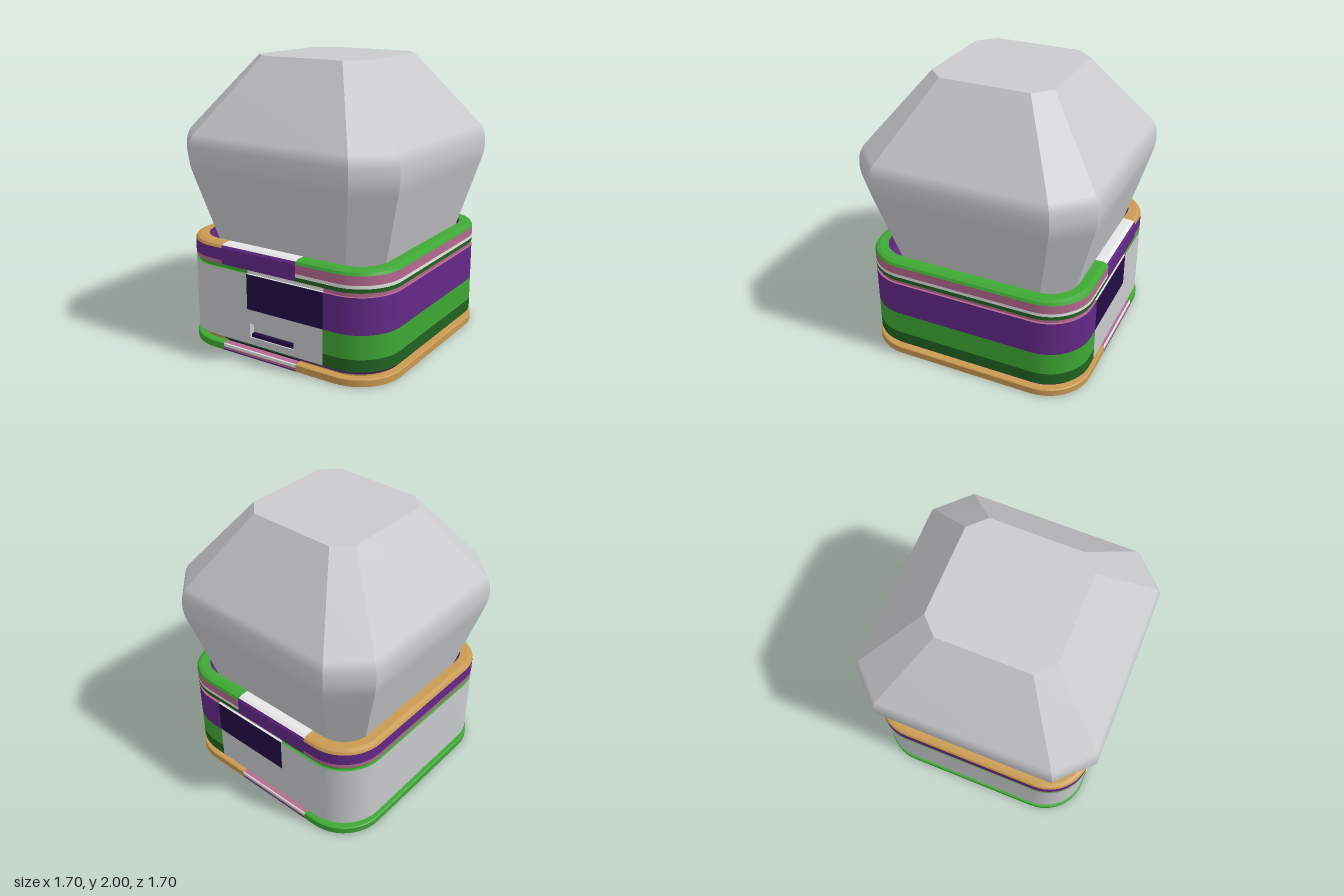
import * as THREE from 'three';

const mat = (name, color) => Object.assign(new THREE.MeshStandardMaterial({ color }), { name });
const M = {
  grey: mat('light grey', 0xc8cacc),
  white: mat('white', 0xe6e6e6),
  purple: mat('purple', 0x642888),
  navy: mat('dark violet', 0x230d45),
  green: mat('green', 0x3ea834),
  darkGreen: mat('dark green', 0x1f6420),
  pink: mat('pink', 0xb5698f),
  tan: mat('tan', 0xc99a50),
};

const CORE = 0.5;                                  // centre of every rounded corner
const CUTS = [0.41, 0.2, 0.18, -0.18, -0.2, -0.41]; // x positions where colours change
const ARC = 12;

// Front half (z >= 0) of a rounded square, from +x to -x, as [x, z, nx, nz]
function halfOutline(h) {
  const r = h - CORE, pts = [[h, 0, 1, 0]];
  const arc = (cx, a0) => {
    for (let i = 0; i <= ARC; i++) {
      const a = a0 + (i / ARC) * Math.PI / 2, c = Math.cos(a), s = Math.sin(a);
      pts.push([cx + r * c, CORE + r * s, c, s]);
    }
  };
  arc(CORE, 0);
  CUTS.forEach(x => pts.push([x, h, 0, 1]));
  arc(-CORE, Math.PI / 2);
  pts.push([-h, 0, -1, 0]);
  return pts;
}

function outline(h) {
  const half = halfOutline(h);
  const back = half.slice(0, -1).reverse().map(([x, z, nx, nz]) => [x, -z, nx, -nz]);
  return [...half, ...back];
}

// Collects coloured quads and turns them into one mesh per colour
function quadBuilder() {
  const buckets = new Map();
  return {
    add(colour, corners, normals) {
      if (!buckets.has(colour)) buckets.set(colour, { p: [], n: [] });
      const b = buckets.get(colour);
      for (const i of [0, 1, 2, 0, 2, 3]) { b.p.push(...corners[i]); b.n.push(...normals[i]); }
    },
    build(name) {
      const group = new THREE.Group();
      group.name = name;
      for (const [colour, b] of buckets) {
        const g = new THREE.BufferGeometry();
        g.setAttribute('position', new THREE.Float32BufferAttribute(b.p, 3));
        g.setAttribute('normal', new THREE.Float32BufferAttribute(b.n, 3));
        const mesh = new THREE.Mesh(g, M[colour]);
        mesh.name = `${name} ${M[colour].name}`;
        group.add(mesh);
      }
      return group;
    },
  };
}

// Wall through [half width, y] levels; pick(row, x, z) names the colour, null leaves a hole
function wall(q, levels, pick) {
  for (let k = 0; k + 1 < levels.length; k++) {
    const [h0, y0] = levels[k], [h1, y1] = levels[k + 1];
    const lo = outline(h0), hi = outline(h1);
    const dy = y1 - y0, dh = h1 - h0, len = Math.hypot(dy, dh);
    const normal = p => [p[2] * dy / len, -dh / len, p[3] * dy / len];
    for (let i = 0; i + 1 < lo.length; i++) {
      const a = lo[i], b = lo[i + 1], c = hi[i + 1], d = hi[i];
      const colour = pick(k, (a[0] + b[0]) / 2, (a[1] + b[1]) / 2);
      if (!colour) continue;
      q.add(colour, [[a[0], y0, a[1]], [d[0], y1, d[1]], [c[0], y1, c[1]], [b[0], y0, b[1]]],
        [a, d, c, b].map(normal));
    }
  }
}

// Flat rounded-square cap made from strips running along z
function cap(q, h, y, up, pick) {
  const pts = halfOutline(h), n = [0, up ? 1 : -1, 0];
  for (let i = 0; i + 1 < pts.length; i++) {
    const a = pts[i], b = pts[i + 1];
    const c = [[a[0], y, a[1]], [a[0], y, -a[1]], [b[0], y, -b[1]], [b[0], y, b[1]]];
    q.add(pick((a[0] + b[0]) / 2), up ? c : c.reverse(), [n, n, n, n]);
  }
}

// Colour choice for the three zones across the foot and rim
const zone = (x, left, middle, right) => (x < -0.41 ? left : x < 0.2 ? middle : right);

function makeFoot() {
  const q = quadBuilder();
  wall(q, [[0.805, 0], [0.815, 0.005], [0.815, 0.015], [0.815, 0.03], [0.815, 0.05], [0.808, 0.055],
    [0.76, 0.055], [0.76, 0.08]],
  (k, x) => zone(x, k > 5 ? 'tan' : 'green',
    ['purple', 'purple', 'pink', 'white', 'white', 'pink', 'navy'][k], 'tan'));
  cap(q, 0.805, 0, false, x => zone(x, 'tan', 'purple', 'tan'));
  return q.build('foot');
}

function makeBody() {
  const q = quadBuilder();
  const stripes = ['purple', 'purple', 'darkGreen', 'darkGreen', 'green', 'green', 'purple', 'pink', 'pink'];
  wall(q, [[0.75, 0.075], [0.785, 0.078], [0.805, 0.1], [0.805, 0.15], [0.805, 0.185], [0.805, 0.25],
    [0.805, 0.35], [0.805, 0.6], [0.79, 0.6], [0.79, 0.632]],
  (k, x, z) => {
    if (k < 2) return zone(x, 'tan', 'darkGreen', 'purple');
    if (x > 0.41) return stripes[k];
    if (k > 6) return x < -0.2 ? 'green' : 'white';
    if (k === 6 && x > -0.2) return 'navy';                          // window, front and back
    if ((k === 3 || k === 4) && Math.abs(x) < 0.18 && z > 0.7) return null; // slot opening
    return 'grey';
  });
  return q.build('body');
}

function makeSlot() {
  const group = new THREE.Group();
  group.name = 'front slot';
  // Inside-out box lining the opening
  const lining = new THREE.BoxGeometry(0.36, 0.1, 0.04);
  lining.scale(-1, 1, 1);
  // reversed corners give inward normals
  lining.computeVertexNormals();
  const idx = lining.index.array;
  const p = lining.attributes.position, n = lining.attributes.normal;
  const u = new THREE.Vector3(), v = new THREE.Vector3(), w = new THREE.Vector3();
  u.fromBufferAttribute(p, idx[0]); v.fromBufferAttribute(p, idx[1]); w.fromBufferAttribute(p, idx[2]);
  const facing = v.sub(u).cross(w.sub(u)).dot(u);
  if (facing > 0) {
    for (let i = 0; i < idx.length; i += 3) [idx[i], idx[i + 1]] = [idx[i + 1], idx[i]];
    for (let i = 0; i < n.array.length; i++) n.array[i] *= -1;
  }
  const recess = new THREE.Mesh(lining, M.grey);
  recess.name = 'slot recess';
  recess.position.set(0, 0.2, 0.785);
  const bar = new THREE.Mesh(new THREE.BoxGeometry(0.34, 0.026, 0.03), M.navy);
  bar.name = 'slot bar';
  bar.position.set(0, 0.165, 0.783);
  group.add(recess, bar);
  return group;
}

function makeRim() {
  const q = quadBuilder();
  const left = ['pink', 'pink', 'purple', 'purple', 'tan', 'tan', 'tan', 'purple'];
  const middle = ['purple', 'purple', 'purple', 'purple', 'purple', 'white', 'white', 'purple'];
  const right = ['darkGreen', 'darkGreen', 'white', 'pink', 'green', 'green', 'green', 'purple'];
  wall(q, [[0.77, 0.63], [0.805, 0.63], [0.805, 0.657], [0.805, 0.68], [0.805, 0.742], [0.795, 0.76],
    [0.77, 0.77], [0.71, 0.77], [0.71, 0.66]],
  (k, x) => zone(x, left[k], middle[k], right[k]));
  cap(q, 0.71, 0.66, true, () => 'purple');
  return q.build('rim');
}

// Eight-sided dome: smooth up each side, sharp between sides
function makeDome() {
  const group = new THREE.Group();
  group.name = 'dome';
  const profile = [[0.668, 0.655], [0.7, 0.77], [0.828, 1.23], [0.843, 1.29], [0.85, 1.35],
    [0.847, 1.42], [0.838, 1.46], [0.82, 1.5], [0.43, 2]];
  const t = 0.735;
  const ring = [[1, -t], [1, t], [t, 1], [-t, 1], [-1, t], [-1, -t], [-t, -1], [t, -1]];
  ring.forEach(([ax, az], s) => {
    const [bx, bz] = ring[(s + 1) % 8], pos = [], idx = [];
    profile.forEach(([h, y], k) => {
      pos.push(ax * h, y, az * h, bx * h, y, bz * h);
      if (k) { const o = 2 * k - 2; idx.push(o, o + 2, o + 3, o, o + 3, o + 1); }
    });
    const g = new THREE.BufferGeometry();
    g.setAttribute('position', new THREE.Float32BufferAttribute(pos, 3));
    g.setIndex(idx);
    g.computeVertexNormals();
    const side = new THREE.Mesh(g, M.grey);
    side.name = s % 2 ? 'dome corner' : 'dome side';
    group.add(side);
  });
  const shape = new THREE.Shape(ring.map(([x, z]) => new THREE.Vector2(x * 0.43, -z * 0.43)));
  const top = new THREE.Mesh(new THREE.ShapeGeometry(shape).rotateX(-Math.PI / 2), M.grey);
  top.name = 'dome top';
  top.position.y = 2;
  group.add(top);
  return group;
}

export function createModel() {
  const model = new THREE.Group();
  model.name = 'domed box';
  model.add(makeFoot(), makeBody(), makeSlot(), makeRim(), makeDome());
  return model;
}
